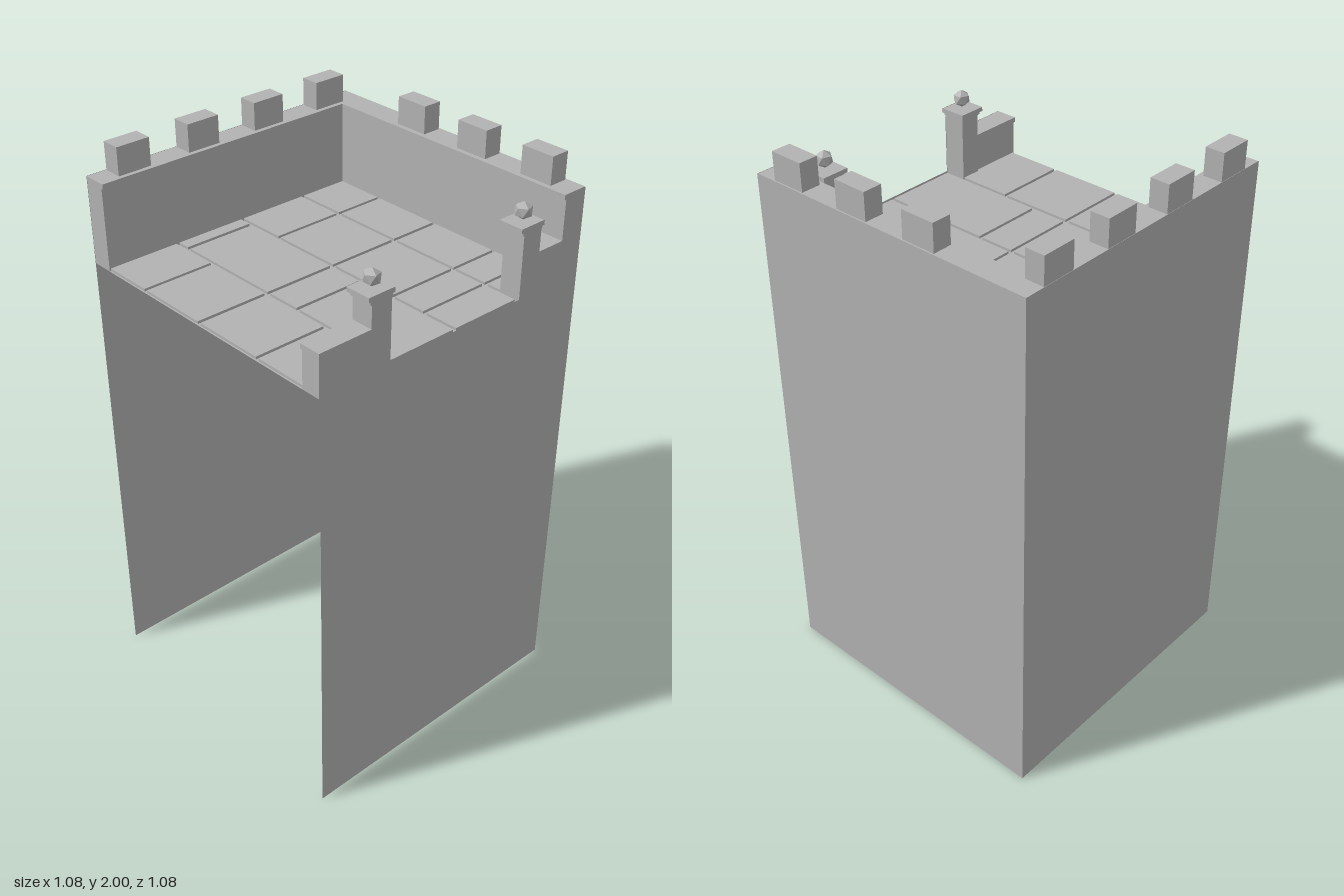
import * as THREE from 'three';

const H = 0.54;        // half width of the tower
const FLOOR = 1.605;   // grout level
const TILE = 1.614;    // tile tops
const RIM = 1.905;     // parapet top
const IN = H - 0.002;  // masonry stops just behind the outer skin

export function createModel() {
  const tower = new THREE.Group();
  tower.name = 'castleTower';
  const stone = new THREE.MeshStandardMaterial({ color: 0xb2b2b2, side: THREE.DoubleSide, flatShading: true });
  stone.name = 'stone';

  const add = (name, geometry, parent = tower) => {
    const mesh = new THREE.Mesh(geometry, stone);
    mesh.name = name;
    parent.add(mesh);
    return mesh;
  };
  // Box given by its two extreme corners
  const block = (name, x0, x1, y0, y1, z0, z1, parent) => {
    const mesh = add(name, new THREE.BoxGeometry(x1 - x0, y1 - y0, z1 - z0), parent);
    mesh.position.set((x0 + x1) / 2, (y0 + y1) / 2, (z0 + z1) / 2);
    return mesh;
  };

  // Outer skin: back and left faces are plain, the fourth side is open
  const backSkin = add('backWall', new THREE.PlaneGeometry(2 * H, RIM));
  backSkin.position.set(0, RIM / 2, -H);
  backSkin.rotation.y = Math.PI;
  const sideSkin = add('sideWall', new THREE.PlaneGeometry(2 * H, RIM));
  sideSkin.position.set(H, RIM / 2, 0);
  sideSkin.rotation.y = Math.PI / 2;

  // Front skin with gateway notch, flared posts and low walls
  const LOW = 1.75;
  const post = s => [
    [0.273, TILE], [0.273, 1.825], [0.268, 1.837], [0.261, 1.837], [0.261, 1.852],
    [0.359, 1.852], [0.359, 1.837], [0.352, 1.837], [0.347, 1.825], [0.347, LOW],
  ].map(([x, y]) => [s * x, y]);
  const outline = [
    [-H, 0], [H, 0], [H, RIM], [0.448, RIM], [0.448, 1.888], [0.455, 1.888], [0.455, LOW],
    ...post(1).reverse(), ...post(-1), [-H, LOW],
  ];
  const frontSkin = add('frontWall', new THREE.ShapeGeometry(
    new THREE.Shape(outline.map(([x, y]) => new THREE.Vector2(x, y)))));
  frontSkin.position.z = H;

  // Parapets with overhanging coping
  block('backParapet', -H, IN, FLOOR, 1.888, -IN, -0.461);
  block('backCoping', -H, IN, 1.888, RIM, -IN, -0.454);
  block('sideParapet', 0.455, IN, FLOOR, 1.888, -0.461, IN);
  block('sideCoping', 0.448, IN, 1.888, RIM, -0.454, IN);

  // Merlons
  for (let i = 0; i < 4; i++) {
    const c = -0.407 + i * 0.2705;
    block('backMerlon', c - 0.061, c + 0.061, RIM, 2, -0.537, -0.47);
    if (i > 0) block('sideMerlon', 0.465, 0.533, RIM, 2, c - 0.061, c + 0.061);
  }

  // Low front walls
  for (const [x0, x1] of [[-H, -0.347], [0.347, 0.455]]) {
    block('lowWall', x0, x1, FLOOR, 1.733, 0.468, IN);
    block('lowWallCoping', x0, x1, 1.733, LOW, 0.46, IN);
  }

  // Gate posts with faceted ball finials
  for (const s of [-1, 1]) {
    const gatePost = new THREE.Group();
    gatePost.name = 'gatePost';
    gatePost.position.x = s * 0.31;
    block('postShaft', -0.037, 0.037, FLOOR, 1.826, 0.46, IN, gatePost);
    block('postNeck', -0.042, 0.042, 1.826, 1.837, 0.455, IN, gatePost);
    block('postCap', -0.049, 0.049, 1.837, 1.852, 0.448, IN, gatePost);
    const ball = add('ballFinial', new THREE.IcosahedronGeometry(0.03, 0).rotateZ(0.5536), gatePost);
    ball.position.set(0, 1.885, 0.497);
    tower.add(gatePost);
  }

  // Roof floor: grout bed and paving slabs, each row given by its z limits
  const bed = add('floorBed', new THREE.PlaneGeometry(2 * H, 2 * H).rotateX(-Math.PI / 2));
  bed.position.y = FLOOR;
  const whole = [[-0.535, -0.28], [-0.268, -0.011], [0.003, 0.26], [0.272, 0.53]];
  const split = [...whole.slice(0, 3), [0.272, 0.394], [0.408, 0.53]];
  const offset = [[-0.535, -0.416], [-0.402, -0.011], [0.003, 0.124], [0.138, 0.53]];
  [whole, offset, split, split].forEach((rows, i) => {
    const x = -0.535 + i * 0.27;
    for (const [z0, z1] of rows) block('pavingSlab', x, x + 0.258, FLOOR, TILE, z0, z1);
  });

  return tower;
}
